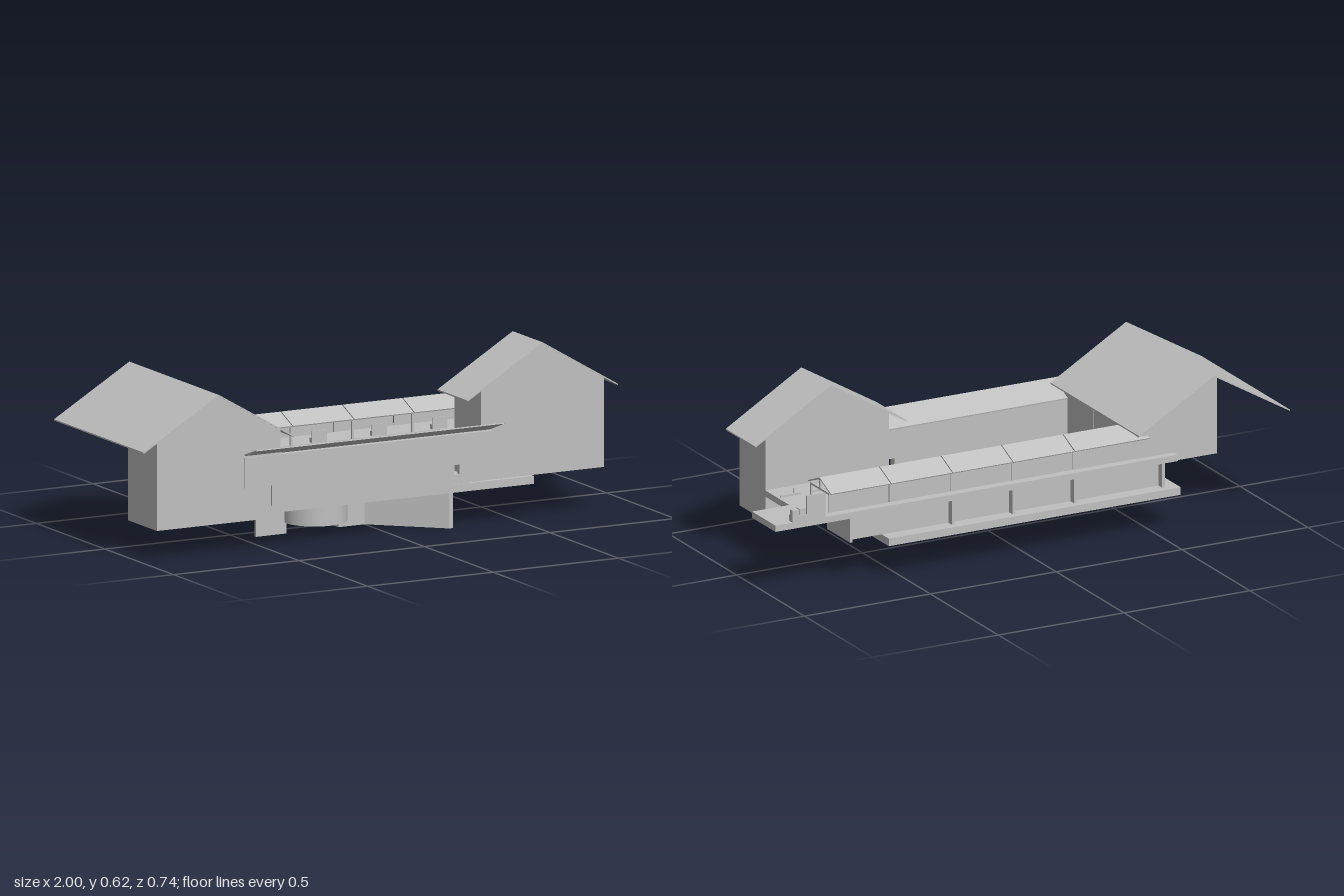
import * as THREE from 'three';

export function createModel() {
  const model = new THREE.Group();
  model.name = 'courtyardBuilding';
  const grey = new THREE.MeshStandardMaterial({ color: 0xc0c0c0, side: THREE.DoubleSide });
  grey.name = 'plainGrey';

  const add = (name, geometry, parent = model) => {
    const mesh = new THREE.Mesh(geometry, grey);
    mesh.name = name;
    parent.add(mesh);
    return mesh;
  };
  // Box given by its limits on each axis
  const box = (name, x0, x1, y0, y1, z0, z1, parent) => {
    const mesh = add(name, new THREE.BoxGeometry(x1 - x0, y1 - y0, z1 - z0), parent);
    mesh.position.set((x0 + x1) / 2, (y0 + y1) / 2, (z0 + z1) / 2);
    return mesh;
  };
  const shapeOf = (points) => new THREE.Shape(points.map(([x, y]) => new THREE.Vector2(x, y)));
  // Upright outline (x, y) extruded along z
  const slabZ = (name, points, z0, z1, parent) => {
    const g = new THREE.ExtrudeGeometry(shapeOf(points), { depth: z1 - z0, bevelEnabled: false });
    return add(name, g.translate(0, 0, z0), parent);
  };
  // Upright outline (z, y) extruded along x
  const slabX = (name, points, x0, x1, parent) => {
    const g = new THREE.ExtrudeGeometry(shapeOf(points.map(([z, y]) => [-z, y])), { depth: x1 - x0, bevelEnabled: false });
    return add(name, g.rotateY(Math.PI / 2).translate(x0, 0, 0), parent);
  };
  // Plan outline (x, z) extruded upwards
  const prismY = (name, points, y0, y1, parent) => {
    const g = new THREE.ExtrudeGeometry(shapeOf(points.map(([x, z]) => [x, -z])), { depth: y1 - y0, bevelEnabled: false });
    return add(name, g.rotateX(-Math.PI / 2).translate(0, y0, 0), parent);
  };

  // Gabled houses at both ends
  const house = (name, cx, base, eave, ridge, wallZ, roofZ) => {
    const group = new THREE.Group();
    group.name = name;
    model.add(group);
    const half = 0.3, wall = 0.246, t = 0.005;
    const shoulder = ridge - (ridge - eave) * wall / half - t;
    slabZ('houseWalls', [[cx - wall, base], [cx + wall, base], [cx + wall, shoulder],
      [cx, ridge - t], [cx - wall, shoulder]], ...wallZ, group);
    slabZ('houseRoof', [[cx - half, eave - t], [cx, ridge - t], [cx + half, eave - t],
      [cx + half, eave], [cx, ridge], [cx - half, eave]], ...roofZ, group);
  };
  house('leftHouse', -0.7, 0.11, 0.396, 0.572, [0.07, 0.28], [-0.37, 0.283]);
  house('rightHouse', 0.604, 0.155, 0.447, 0.625, [0.067, 0.257], [0.04, 0.258]);
  box('leftHouseRearRoom', -0.6, -0.455, 0.25, 0.42, -0.253, 0.07);

  // Courtyard floor with the pond basin and the channel below it
  box('courtyardFloor', -0.6, 0.56, 0.127, 0.155, -0.305, 0.275);
  const basin = add('pondBasin', new THREE.CylinderGeometry(0.115, 0.115, 0.12, 40));
  basin.position.set(-0.21, 0.1, 0.083);
  prismY('diagonalChannel', [[-0.105, 0.033], [0.012, 0.033], [0.24, 0.26], [0.24, 0.27], [0.225, 0.27],
    [0.0, 0.065], [-0.105, 0.065]], 0, 0.158);
  box('sideChannel', -0.437, -0.315, 0, 0.158, 0.06, 0.072);

  // Front wall, its awning and the small steps
  slabZ('frontWall', [[-0.49, 0.155], [0.235, 0.155], [0.235, 0.228], [0.39, 0.228], [0.39, 0.336],
    [-0.597, 0.336], [-0.597, 0.228], [-0.49, 0.228]], 0.257, 0.285);
  slabX('frontAwning', [[0.257, 0.334], [0.37, 0.376], [0.369, 0.38], [0.256, 0.339]], -0.597, 0.39);
  box('frontStep', 0.235, 0.305, 0.155, 0.19, 0.257, 0.272);
  box('frontStep', 0.265, 0.305, 0.19, 0.228, 0.257, 0.272);
  box('frontPost', 0.305, 0.355, 0.155, 0.228, 0.257, 0.262);

  // Lower rear storey: recessed wall panels with piers
  const lower = new THREE.Group();
  lower.name = 'lowerStorey';
  model.add(lower);
  box('rearWall', -0.55, 0.7, 0.155, 0.245, -0.253, -0.24, lower);
  box('innerWall', -0.55, 0.7, 0.155, 0.245, -0.12, -0.11, lower);
  for (const x of [-0.55, -0.2, 0.045, 0.285, 0.69]) {
    box('pier', x, x + 0.01, 0.155, 0.245, -0.28, -0.11, lower);
  }
  box('sideBeam', 0.69, 0.7, 0.205, 0.245, -0.11, 0.067, lower);
  box('sideBeam', 0.56, 0.57, 0.155, 0.245, -0.11, 0.067, lower);
  box('sideBeamBack', 0.57, 0.69, 0.205, 0.245, -0.12, -0.11, lower);

  // Raised deck
  box('rearDeck', -0.6, 0.998, 0.245, 0.268, -0.283, -0.11);
  box('sideDeck', 0.39, 0.85, 0.245, 0.268, -0.11, 0.067);
  for (const x of [0.4, 0.52, 0.64, 0.76]) {
    box('deckRail', x, x + 0.08, 0.268, 0.275, -0.028, -0.024);
  }
  box('deckPost', 0.78, 0.785, 0.268, 0.292, -0.022, -0.018);

  // Long gabled gallery in five bays
  const gallery = new THREE.Group();
  gallery.name = 'gallery';
  model.add(gallery);
  const bays = [-0.5, -0.2, 0.045, 0.285, 0.53, 0.77];
  for (let i = 0; i < 5; i++) {
    const [a, b] = [bays[i] + 0.002, bays[i + 1] - 0.002];
    slabX('galleryRoof', [[-0.096, 0.338], [-0.18, 0.373], [-0.264, 0.338],
      [-0.266, 0.342], [-0.18, 0.378], [-0.094, 0.342]], a, b, gallery);
    box('galleryBackWall', a, b, 0.268, 0.34, -0.25, -0.245, gallery);
  }
  for (const x of bays) {
    const x0 = Math.min(x, 0.76);
    box('galleryPost', x0, x0 + 0.008, 0.268, 0.338, -0.118, -0.11, gallery);
    box('galleryTie', x0, x0 + 0.008, 0.333, 0.34, -0.25, -0.11, gallery);
    box('galleryKingPost', x0, x0 + 0.008, 0.34, 0.374, -0.183, -0.178, gallery);
  }
  box('galleryFrontBeam', -0.5, 0.768, 0.333, 0.34, -0.118, -0.11, gallery);
  for (const x of [-0.35, -0.08, 0.16, 0.4, 0.64]) {
    box('bench', x - 0.03, x + 0.03, 0.268, 0.285, -0.135, -0.118, gallery);
    box('benchBack', x - 0.03, x + 0.03, 0.285, 0.31, -0.122, -0.118, gallery);
  }

  // Seats at the open end of the deck
  box('seatBack', 0.8, 0.874, 0.268, 0.358, -0.283, -0.278);
  box('seat', 0.85, 0.9, 0.268, 0.312, -0.278, -0.255);
  box('seat', 0.905, 0.93, 0.268, 0.312, -0.283, -0.262);
  box('seatBase', 0.86, 0.93, 0.268, 0.29, -0.283, -0.255);

  // Planted bed beside the channel
  const plants = new THREE.Group();
  plants.name = 'plants';
  model.add(plants);
  let seed = 7;
  const rand = () => (seed = (seed * 16807) % 2147483647) / 2147483647;
  const leaf = new THREE.ConeGeometry(0.006, 0.04, 4);
  for (let i = 0; i < 170; i++) {
    const v = rand(), u = rand();
    const z = 0.005 + 0.17 * v;
    const left = 0.12 + 0.15 * v;
    const blade = add('leaf', leaf, plants);
    blade.position.set(left + (0.3 - left) * u, 0.165 + rand() * 0.02, z);
    blade.rotation.set(rand() * 1.6 - 0.8, rand() * 6, rand() * 1.6 - 0.8);
  }
  return model;
}
